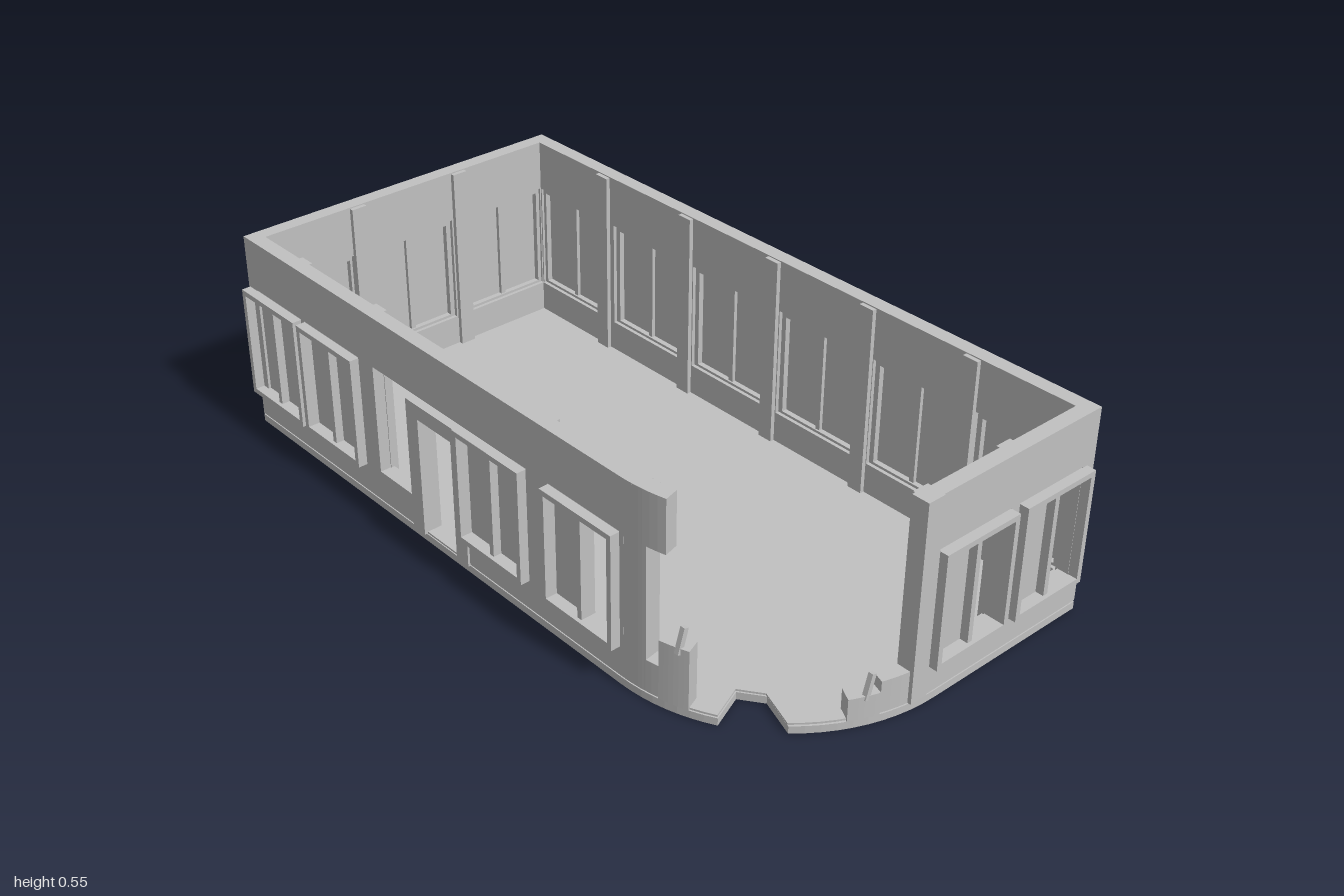
import * as THREE from 'three';

const HX = 0.485, HZ = 0.975, T = 0.04;      // outer half sizes, wall thickness
const SILL = 0.11, HEAD = 0.41, BASE = 0.024, TOP = 0.55;
const ARC_Z = 0.49, ARC_R = 0.485;           // rounded, broken corner

const concrete = new THREE.MeshStandardMaterial({ color: 0xc0c0c0 });
concrete.name = 'concrete grey';

function add(parent, name, geometry) {
  const mesh = new THREE.Mesh(geometry, concrete);
  mesh.name = name;
  parent.add(mesh);
  return mesh;
}

// Box given by its limits on each axis
function block(parent, name, x0, x1, y0, y1, z0, z1) {
  const mesh = add(parent, name, new THREE.BoxGeometry(x1 - x0, y1 - y0, z1 - z0));
  mesh.position.set((x0 + x1) / 2, (y0 + y1) / 2, (z0 + z1) / 2);
  return mesh;
}

// Plan shape (x, -z) raised from y0 to y1
function raise(parent, name, points, y0, y1) {
  const geo = new THREE.ExtrudeGeometry(new THREE.Shape(points), { depth: y1 - y0, bevelEnabled: false });
  geo.rotateX(-Math.PI / 2).translate(0, y0, 0);
  return add(parent, name, geo);
}

// Points on the corner arc; 0 degrees is the left wall, 90 the front wall
function arcPoints(r, a0, a1, n = 6) {
  return Array.from({ length: n + 1 }, (_, i) => {
    const a = THREE.MathUtils.degToRad(a0 + (a1 - a0) * i / n);
    return new THREE.Vector2(-r * Math.cos(a), -(ARC_Z + r * Math.sin(a)));
  });
}

function curvedBlock(parent, name, a0, a1, y0, y1, inner = T) {
  raise(parent, name, [...arcPoints(ARC_R, a0, a1), ...arcPoints(ARC_R - inner, a1, a0)], y0, y1);
}

// Two-pane window: s runs along the wall, z = 0 is the outer face
function windowUnit(parent, s0, s1, missing = []) {
  const g = new THREE.Group();
  g.name = 'window';
  parent.add(g);
  const y0 = 0.103, y1 = 0.408, w = 0.014, zi = -0.03, zo = 0.025, mid = (s0 + s1) / 2;
  block(g, 'frameSide', s0, s0 + w, y0, y1, zi, zo);
  block(g, 'frameSide', s1 - w, s1, y0, y1, zi, zo);
  block(g, 'frameSill', s0 + w, s1 - w, y0, y0 + w, zi, zo);
  block(g, 'frameHead', s0 + w, s1 - w, y1 - w, y1, zi, zo);
  block(g, 'mullion', mid - 0.007, mid + 0.007, y0 + w, y1 - w, -0.025, 0.015);
  [[s0 + w, mid - 0.007], [mid + 0.007, s1 - w]].forEach(([a, b], i) => {
    if (!missing.includes(i)) block(g, 'pane', a, b, y0 + w, y1 - w, -0.015, -0.007);
  });
}

// Straight wall: bands above and below, windows, solid piers and inner pilasters
function wall(root, name, { turn, x = 0, z = 0, s0, s1, lower, windows, gaps = [], pilasters }) {
  const g = new THREE.Group();
  g.name = name;
  g.rotation.y = turn;
  g.position.set(x, 0, z);
  root.add(g);
  block(g, 'upperBand', s0, s1, HEAD, TOP, -T, 0);
  (lower || [[s0, s1]]).forEach(([a, b]) => block(g, 'lowerBand', a, b, BASE, SILL, -T, 0));
  let from = s0;
  [...windows, ...gaps].sort((p, q) => p[0] - q[0]).forEach(([a, b]) => {
    if (a - from > 0.004) block(g, 'pier', from, a, SILL, HEAD, -T, 0);
    from = b;
  });
  if (s1 - from > 0.004) block(g, 'pier', from, s1, SILL, HEAD, -T, 0);
  windows.forEach(([a, b, missing]) => windowUnit(g, a, b, missing));
  pilasters.forEach(p => block(g, 'pilaster', p - 0.022, p + 0.022, 0.02, TOP - 0.003, -T - 0.012, -T + 0.01));
  return g;
}

export function createModel() {
  const root = new THREE.Group();
  root.name = 'ruinedBuildingFloor';

  // Floor slab with a rounded corner and a broken notch
  const v = (x, z) => new THREE.Vector2(x, -z);
  const outline = [
    v(HX, -HZ), v(-HX, -HZ), ...arcPoints(ARC_R, 0, 30, 8),
    v(-0.33, 0.695), v(-0.29, 0.75), ...arcPoints(ARC_R, 48, 90, 10), v(HX, HZ),
  ];
  raise(root, 'floorSlab', outline, 0, 0.02);
  raise(root, 'floorSurface', outline.map(p => p.clone().multiplyScalar(0.994)), 0.015, 0.025);

  // Right wall with six windows
  const six = [-0.803, -0.482, -0.161, 0.161, 0.482, 0.803];
  wall(root, 'rightWall', {
    turn: Math.PI / 2, x: HX, s0: -HZ, s1: HZ,
    windows: six.map(c => [c - 0.136, c + 0.136]),
    pilasters: [-0.645, -0.322, 0, 0.322, 0.655],
  });

  // Back wall with three windows
  wall(root, 'backWall', {
    turn: Math.PI, z: -HZ, s0: -HX, s1: HX,
    windows: [-0.31, 0.005, 0.32].map(c => [c - 0.138, c + 0.138]),
    pilasters: [-0.16, 0.167],
  });

  // Front wall, broken off beside the rounded corner
  const front = wall(root, 'frontWall', {
    turn: 0, z: HZ, s0: -0.08, s1: HX,
    windows: [[-0.03, 0.203, [1]], [0.23, 0.46, [1]]],
    pilasters: [-0.045, 0.215],
  });
  block(front, 'endPost', -0.08, -0.03, BASE, TOP, -T - 0.004, 0.003);

  // Left wall with four windows, a doorway and a gap beside it
  const left = wall(root, 'leftWall', {
    turn: -Math.PI / 2, x: -HX, s0: -HZ, s1: 0.5,
    lower: [[-HZ, -0.28], [-0.06, 0.5]],
    windows: [[-0.97, -0.733], [-0.718, -0.48], [-0.07, 0.17], [0.247, 0.487, [1]]],
    gaps: [[-0.42, -0.07]],
    pilasters: [-0.76, -0.44, 0.21, 0.515],
  });
  block(left, 'doorJamb', -0.28, -0.235, 0.02, 0.39, -T - 0.004, 0.006);
  block(left, 'doorJamb', -0.105, -0.06, 0.02, 0.39, -T - 0.004, 0.006);
  block(left, 'doorHead', -0.235, -0.105, 0.35, 0.39, -T - 0.004, 0.006);

  // Remains of the curved corner
  curvedBlock(root, 'curvedUpperBand', 0, 15, HEAD, TOP);
  curvedBlock(root, 'curvedLowerBand', 0, 13, BASE, SILL);
  curvedBlock(root, 'cornerPost', 1, 9, BASE, TOP - 0.003, T + 0.006);
  curvedBlock(root, 'brokenStub', 13, 22, 0.02, 0.18);
  curvedBlock(root, 'curvedLowerBand', 72, 90, BASE, SILL);
  curvedBlock(root, 'brokenStub', 63, 72, 0.02, 0.08);

  // Bent reinforcement bars
  [[-0.449, 0.195, 0.645], [-0.172, 0.1, 0.935]].forEach(([x, y, z]) => {
    const rod = add(root, 'reinforcementBar', new THREE.BoxGeometry(0.013, 0.066, 0.013));
    rod.position.set(x, y, z);
    rod.rotation.z = -0.28;
  });
  return root;
}
